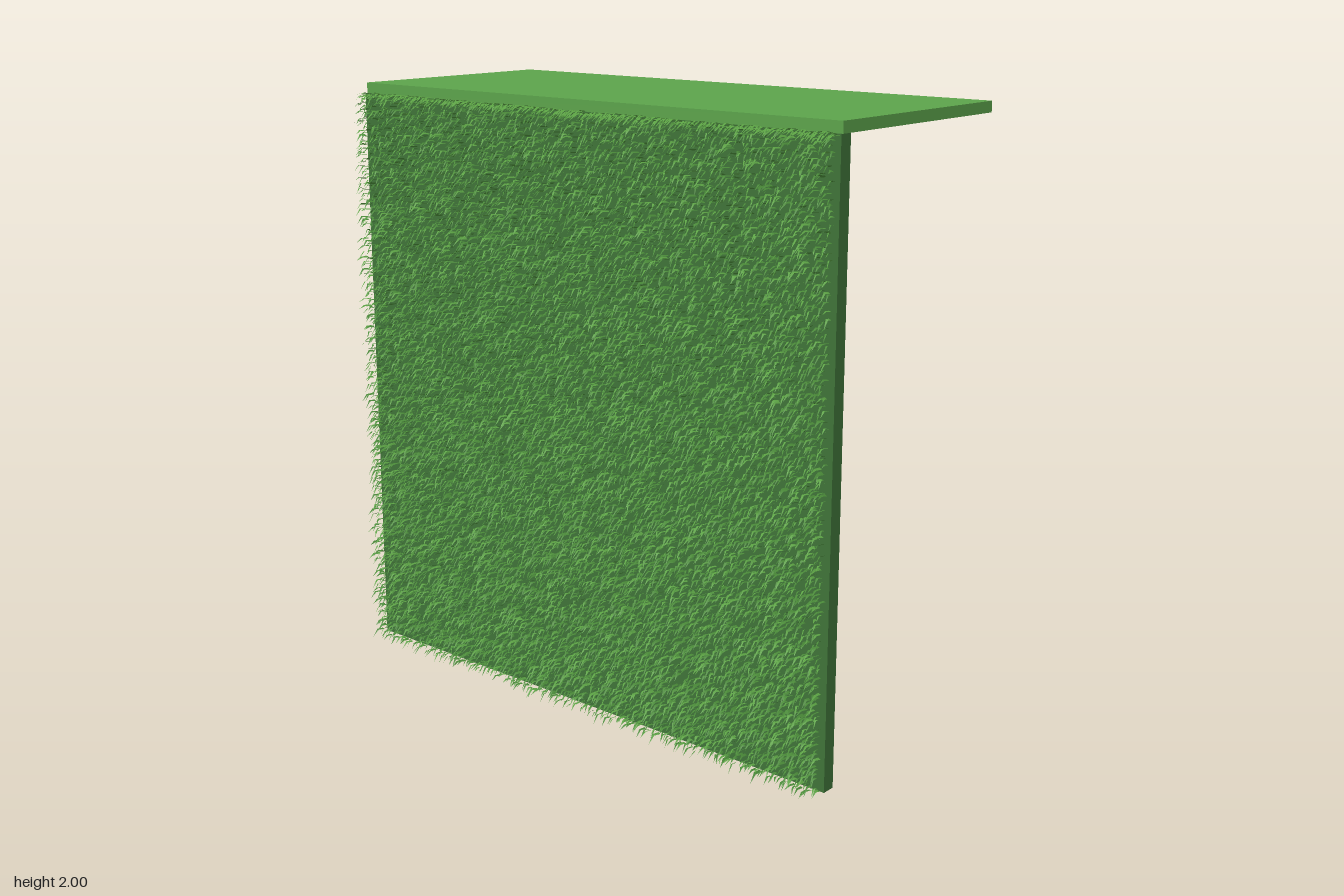
import * as THREE from 'three';

const mat = (name, color, side = THREE.FrontSide) => {
  const m = new THREE.MeshStandardMaterial({ color, side });
  m.name = name;
  return m;
};

// Small seeded generator so the grass is always the same
function seeded(seed) {
  return () => {
    seed = (seed * 1664525 + 1013904223) >>> 0;
    return seed / 4294967296;
  };
}

function box(name, material, x0, x1, y0, y1, z0, z1) {
  const mesh = new THREE.Mesh(new THREE.BoxGeometry(x1 - x0, y1 - y0, z1 - z0), material);
  mesh.position.set((x0 + x1) / 2, (y0 + y1) / 2, (z0 + z1) / 2);
  mesh.name = name;
  return mesh;
}

// One tapered blade: a root pair, a middle pair and a tip
function addBlade({ pos, index }, root, middle, tip, width, twist) {
  const n = pos.length / 3;
  const wx = Math.cos(twist) * width / 2, wy = Math.sin(twist) * width / 2;
  const put = (p, s) => pos.push(p[0] + wx * s, p[1] + wy * s, p[2]);
  put(root, -1); put(root, 1);
  put(middle, -0.8); put(middle, 0.8);
  put(tip, 0);
  index.push(n, n + 2, n + 1, n + 1, n + 2, n + 3, n + 2, n + 4, n + 3);
}

function bladeMesh(name, material, { pos, index }) {
  const g = new THREE.BufferGeometry();
  g.setAttribute('position', new THREE.Float32BufferAttribute(pos, 3));
  g.setIndex(index);
  g.computeVertexNormals();
  const mesh = new THREE.Mesh(g, material);
  mesh.name = name;
  return mesh;
}

export function createModel() {
  const group = new THREE.Group();
  group.name = 'grassWall';
  const roofGreen = mat('roofGreen', 0x5ca34b);
  const wallGreen = mat('wallGreen', 0x3f7338);
  const grassGreen = mat('grassGreen', 0x4b8c39, THREE.DoubleSide);
  const brightGreen = mat('brightGrassGreen', 0x5ca344, THREE.DoubleSide);

  // Upright panel and flat top slab
  group.add(box('wallPanel', wallGreen, -0.975, 0.97, 0.025, 1.965, 0.305, 0.35));
  group.add(box('topSlab', roofGreen, -0.975, 0.97, 1.965, 2, -0.438, 0.342));

  // Drooping blades on a jittered grid in front of the panel
  const rnd = seeded(7);
  const mid = { pos: [], index: [] }, bright = { pos: [], index: [] };
  const cols = 112, rows = 112, half = 0.97, low = 0.026, high = 1.96;
  for (let i = 0; i < cols; i++) {
    for (let j = 0; j < rows; j++) {
      const x = -half + 2 * half * (i + rnd()) / cols;
      const y = low + (high - low) * (j + rnd()) / rows;
      const out = 0.022 + 0.033 * rnd();
      const drop = 0.004 + 0.02 * rnd();
      const lean = (rnd() - 0.5) * 0.018;
      const z = 0.371 + 0.006 * rnd();
      addBlade(rnd() < 0.3 ? bright : mid, [x, y, z], [x + lean * 0.4, y + 0.003, z + out * 0.55],
        [x + lean, y - drop, z + out], 0.007 + 0.004 * rnd(), (rnd() - 0.5) * 1.2);
    }
  }
  group.add(bladeMesh('grassBlades', grassGreen, mid));
  group.add(bladeMesh('brightGrassBlades', brightGreen, bright));

  // Top fringe arching forward from under the slab
  const fringe = { pos: [], index: [] };
  const count = 420;
  for (let i = 0; i < count; i++) {
    const x = -half + 2 * half * (i + rnd()) / count;
    const y = 1.955 + 0.012 * rnd();
    const lean = (rnd() - 0.5) * 0.015;
    addBlade(fringe, [x, y, 0.345], [x + lean * 0.5, y + 0.005, 0.375],
      [x + lean, y - 0.02 * rnd(), 0.395 + 0.02 * rnd()], 0.009, (rnd() - 0.5) * 0.6);
  }
  group.add(bladeMesh('topFringe', brightGreen, fringe));

  return group;
}
